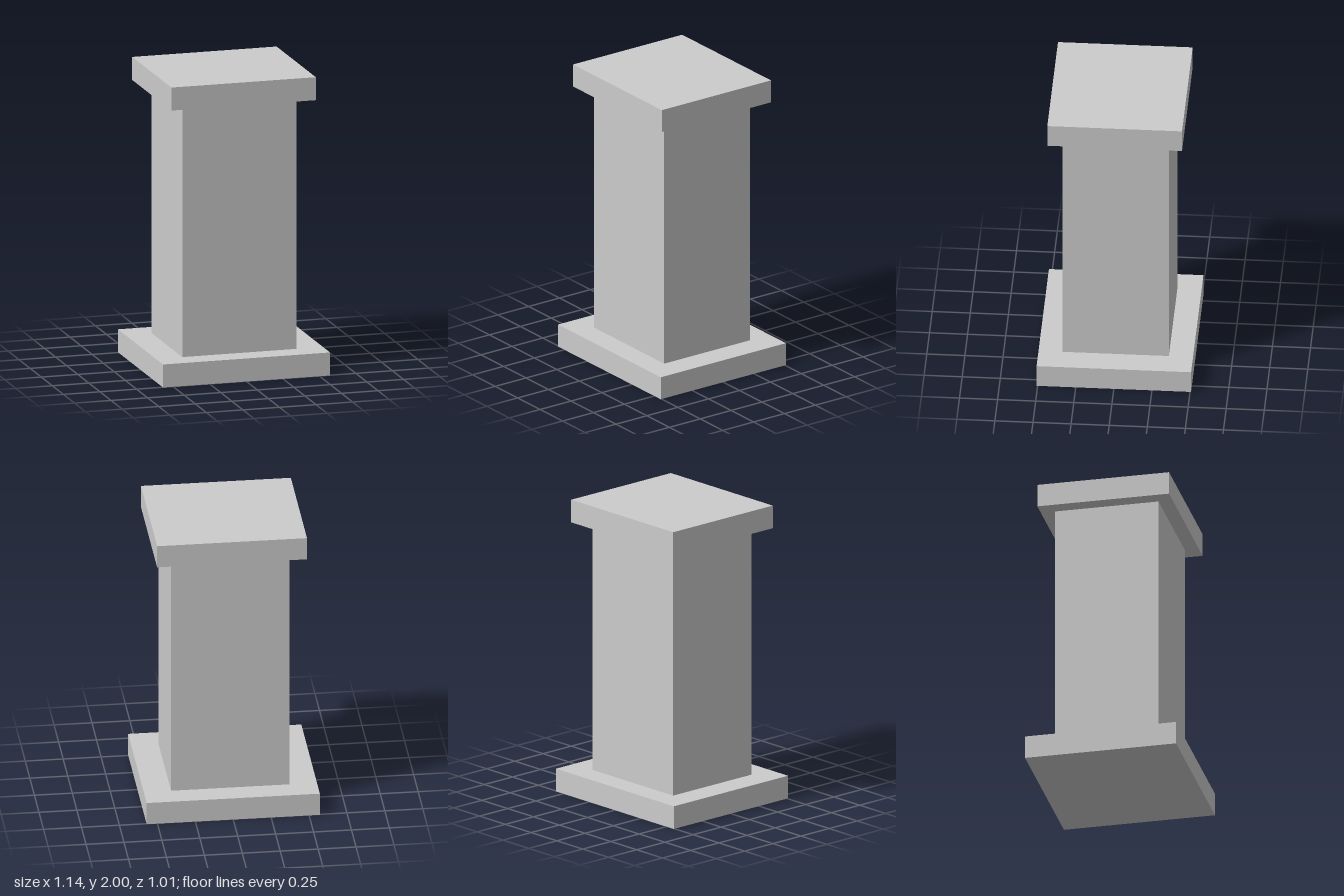
import * as THREE from 'three';

export function createModel() {
  const group = new THREE.Group();
  const material = new THREE.MeshStandardMaterial({ color: 0xcccccc, flatShading: true });

  // Adds a centred block spanning bottom..top
  function addBlock(name, width, depth, bottom, top) {
    const mesh = new THREE.Mesh(new THREE.BoxGeometry(width, top - bottom, depth), material);
    mesh.name = name;
    mesh.position.y = (bottom + top) / 2;
    group.add(mesh);
  }

  addBlock('base', 1.142, 1.014, 0, 0.155);
  addBlock('shaft', 0.782, 0.696, 0.155, 1.845);
  addBlock('cap', 0.988, 0.884, 1.845, 2);

  group.name = 'pedestal';
  return group;
}
